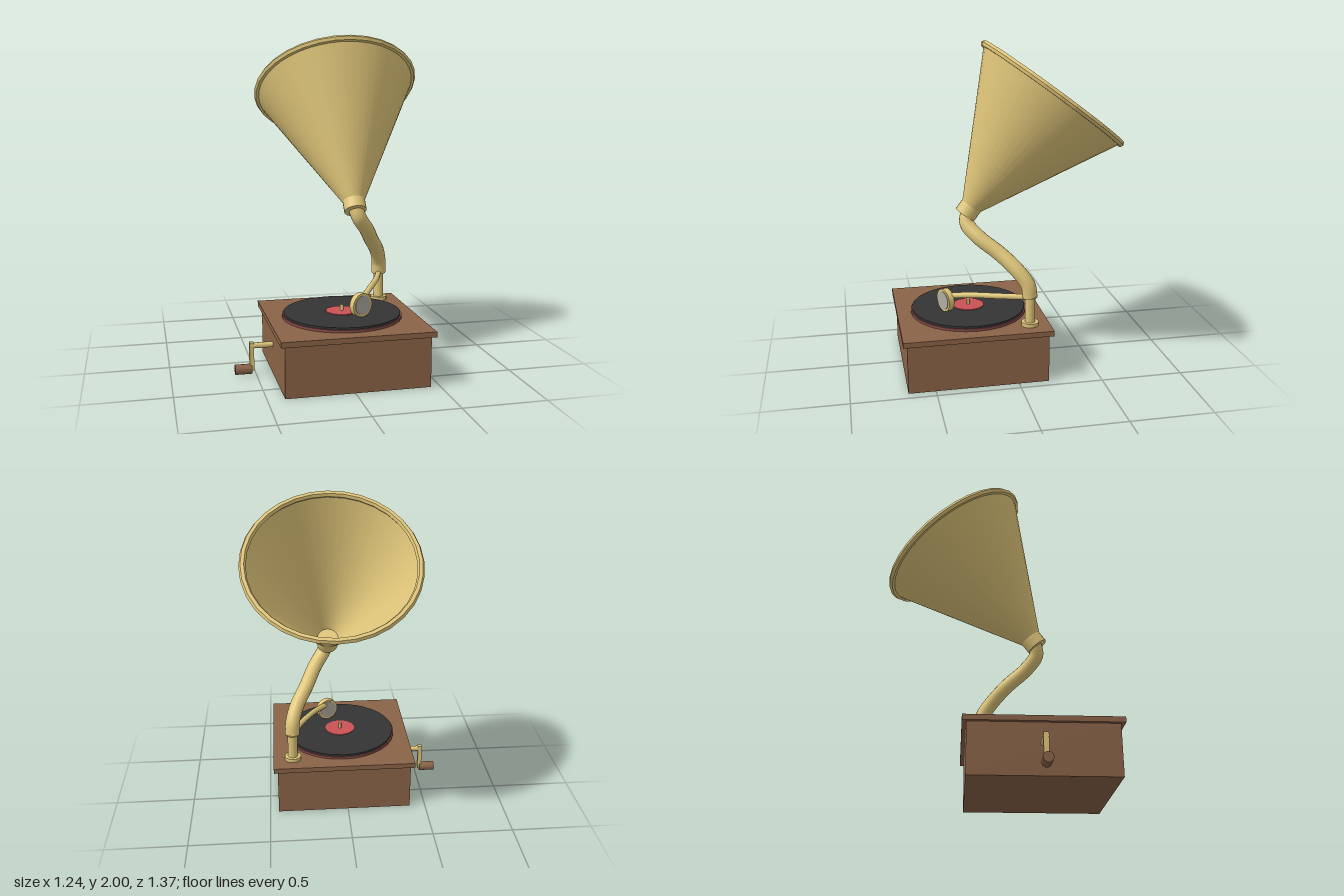
import * as THREE from 'three';

const mat = (name, color, extra = {}) => {
  const m = new THREE.MeshStandardMaterial({ color, ...extra });
  m.name = name;
  return m;
};

export function createModel() {
  const root = new THREE.Group();
  root.name = 'gramophone';

  const wood = mat('wood', 0x8a6347);
  const brass = mat('brass', 0xdfc579);
  const brassSheet = mat('brass sheet', 0xdfc579, { side: THREE.DoubleSide });
  const brassFacet = mat('faceted brass', 0xdfc579, { flatShading: true });
  const vinyl = mat('vinyl', 0x343434);
  const felt = mat('red felt', 0x824a46);
  const paper = mat('label red', 0xcb5256);
  const silver = mat('silver', 0xb0aca2);

  const add = (name, geometry, material, x = 0, y = 0, z = 0, parent = root) => {
    const m = new THREE.Mesh(geometry, material);
    m.name = name;
    m.position.set(x, y, z);
    parent.add(m);
    return m;
  };
  // Upright cylinder given by its bottom and top heights
  const disc = (name, r, y0, y1, material, x, z, sides = 32) =>
    add(name, new THREE.CylinderGeometry(r, r, y1 - y0, sides), material, x, (y0 + y1) / 2, z);
  const tube = (name, points, r, sides, steps) => {
    const path = new THREE.CatmullRomCurve3(points.map(p => new THREE.Vector3(...p)));
    return add(name, new THREE.TubeGeometry(path, steps, r, sides), brassSheet);
  };

  // Cabinet
  const cx = 0.022, cz = 0.24;
  add('cabinet', new THREE.BoxGeometry(0.846, 0.3, 0.846), wood, cx, 0.15, cz);
  add('cabinetLid', new THREE.BoxGeometry(0.894, 0.032, 0.894), wood, cx, 0.315, cz);

  // Turntable and record
  disc('platter', 0.36, 0.331, 0.347, felt, cx, cz);
  disc('record', 0.352, 0.347, 0.359, vinyl, cx, cz);
  disc('recordLabel', 0.097, 0.359, 0.364, paper, cx, cz);
  disc('spindle', 0.01, 0.36, 0.4, brass, cx, cz, 8);

  // Post that carries the horn and the tone arm
  const px = 0.345, pz = -0.085;
  disc('postFoot', 0.052, 0.331, 0.354, brass, px, pz, 20);
  disc('post', 0.031, 0.35, 0.52, brass, px, pz, 16);

  // Curved neck
  tube('hornNeck', [
    [px, 0.51, pz], [0.341, 0.585, -0.072], [0.312, 0.668, -0.015], [0.246, 0.762, 0.083],
    [0.183, 0.85, 0.197], [0.124, 0.925, 0.258], [0.098, 1.0, 0.243],
  ], 0.045, 16, 48);
  add('neckCap', new THREE.CircleGeometry(0.045, 16), brassSheet, px, 0.511, pz).rotation.x = Math.PI / 2;

  // Horn, built along y and tilted towards the back
  const horn = new THREE.Group();
  horn.name = 'horn';
  horn.position.set(0.098, 1.0, 0.243);
  horn.rotation.x = -0.641;
  root.add(horn);
  add('hornCollar', new THREE.CylinderGeometry(0.067, 0.067, 0.072, 20), brass, 0, 0, 0, horn);
  const flare = [[0.05, 0], [0.5, 0.853]].map(p => new THREE.Vector2(...p));
  add('hornFlare', new THREE.LatheGeometry(flare, 48), brassSheet, 0, 0, 0, horn);
  add('hornRim', new THREE.TorusGeometry(0.499, 0.02, 6, 32), brassFacet, 0, 0.853, 0, horn)
    .rotation.x = Math.PI / 2;

  // Tone arm with its sound box
  tube('toneArm', [[px, 0.508, pz], [0.28, 0.502, 0.08], [0.19, 0.488, 0.25], [0.115, 0.465, 0.375]],
    0.018, 10, 24);
  const head = new THREE.Group();
  head.name = 'soundBox';
  head.position.set(0.1, 0.433, 0.392);
  head.rotation.y = 0.44;
  root.add(head);
  add('soundBoxCase', new THREE.CylinderGeometry(0.071, 0.071, 0.036, 24), brass, 0, 0, 0, head)
    .rotation.x = Math.PI / 2;
  add('diaphragm', new THREE.CylinderGeometry(0.057, 0.057, 0.044, 24), silver, 0, 0, 0, head)
    .rotation.x = Math.PI / 2;

  // Winding crank
  const rod = (name, r, length, material, x, y, sides) => {
    add(name, new THREE.CylinderGeometry(r, r, length, sides), material, x, y, 0.235).rotation.z = Math.PI / 2;
  };
  rod('crankShaft', 0.017, 0.15, brass, -0.465, 0.18, 10);
  add('crankArm', new THREE.BoxGeometry(0.026, 0.17, 0.03), brass, -0.527, 0.115, 0.235);
  rod('crankHandle', 0.03, 0.1, wood, -0.577, 0.038, 10);

  return root;
}
